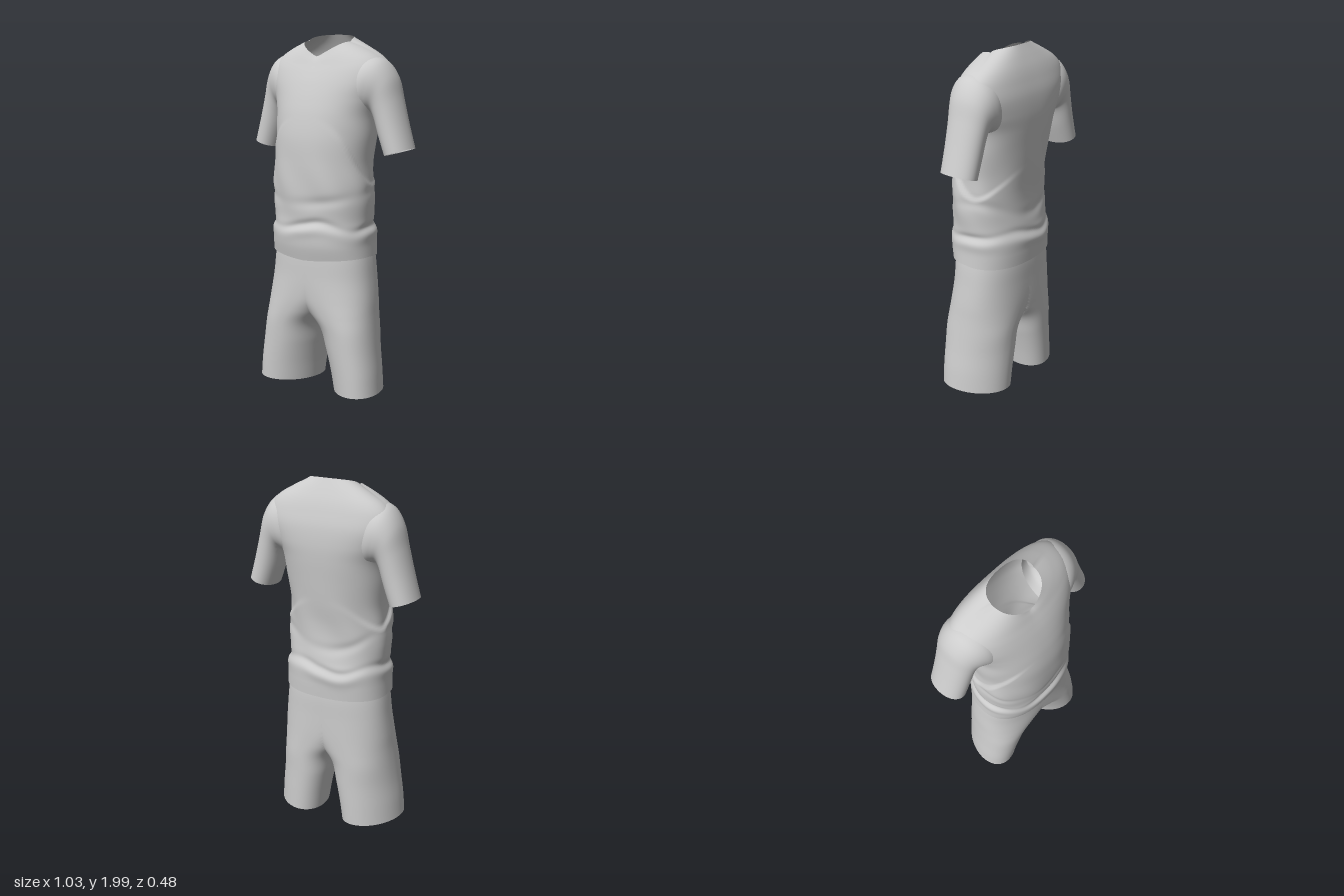
import * as THREE from 'three';

const gauss = (d, w) => Math.exp(-(d * d) / (w * w));
const spow = (v, e) => Math.sign(v) * Math.pow(Math.abs(v), e);
const smooth = THREE.MathUtils.smoothstep;

// Smoothly interpolate a list of cross-section settings, t from 0 to 1
function sample(keys, t) {
  const f = t * (keys.length - 1);
  const i = Math.min(Math.floor(f), keys.length - 2);
  const u = f - i;
  const k = (n) => keys[Math.max(0, Math.min(keys.length - 1, n))];
  return keys[i].map((_, c) => {
    const p0 = k(i - 1)[c], p1 = k(i)[c], p2 = k(i + 1)[c], p3 = k(i + 2)[c];
    return p1 + 0.5 * u * (p2 - p0 + u * (2 * p0 - 5 * p1 + 4 * p2 - p3 + u * (3 * (p1 - p2) + p3 - p0)));
  });
}

// Open-ended skin through closed rings; point(section, angle) returns [x, y, z].
// Faces whose corners all satisfy skip(x, y, z) are left out.
function loft(keys, rows, n, point, { side = 1, seam = false, skip = () => false } = {}) {
  const pos = [], index = [];
  for (let r = 0; r <= rows; r++) {
    const s = sample(keys, r / rows);
    for (let j = 0; j < n; j++) {
      const [x, y, z] = point(s, (j / n) * Math.PI * 2);
      pos.push(side * (seam ? Math.max(0, x) : x), y, z);
    }
  }
  const add = (a, b, c) => {
    if ([a, b, c].every((i) => skip(pos[i * 3], pos[i * 3 + 1], pos[i * 3 + 2]))) return;
    if (side > 0) index.push(a, b, c);
    else index.push(a, c, b);
  };
  for (let r = 0; r < rows; r++) {
    for (let j = 0; j < n; j++) {
      const a = r * n + j, b = r * n + ((j + 1) % n);
      add(a, b, b + n);
      add(a, b + n, a + n);
    }
  }
  const g = new THREE.BufferGeometry();
  g.setAttribute('position', new THREE.Float32BufferAttribute(pos, 3));
  g.setIndex(index);
  g.computeVertexNormals();
  if (seam) {
    // Smooth shading across the centre seam
    const nor = g.attributes.normal, v = new THREE.Vector3();
    for (let i = 0; i < nor.count; i++) {
      if (Math.abs(pos[i * 3]) > 1e-6) continue;
      v.set(0, nor.getY(i), nor.getZ(i)).normalize();
      nor.setXYZ(i, v.x, v.y, v.z);
    }
  }
  return g;
}

// Shirt body: half width, front z, back z, centre z, side y, front y, back y,
// front roundness, back roundness
const BODY = [
  [0.31, 0.21, -0.222, 0.0, 0.795, 0.77, 0.785, 0.85, 0.85],
  [0.306, 0.226, -0.226, 0.0, 0.86, 0.85, 0.86, 0.85, 0.85],
  [0.302, 0.228, -0.226, 0.0, 0.93, 0.92, 0.93, 0.85, 0.85],
  [0.297, 0.222, -0.208, 0.0, 1.0, 1.0, 1.0, 0.88, 0.88],
  [0.305, 0.227, -0.196, 0.0, 1.1, 1.1, 1.1, 0.9, 0.9],
  [0.305, 0.23, -0.198, 0.0, 1.2, 1.2, 1.2, 0.9, 0.9],
  [0.294, 0.228, -0.212, 0.0, 1.32, 1.32, 1.32, 0.9, 0.87],
  [0.298, 0.222, -0.226, -0.015, 1.45, 1.45, 1.45, 0.9, 0.84],
  [0.302, 0.202, -0.238, -0.04, 1.57, 1.57, 1.57, 0.9, 0.8],
  [0.332, 0.178, -0.242, -0.065, 1.66, 1.66, 1.66, 0.9, 0.75],
  [0.366, 0.15, -0.236, -0.075, 1.75, 1.74, 1.75, 0.9, 0.72],
  [0.362, 0.126, -0.219, -0.08, 1.825, 1.795, 1.825, 0.9, 0.74],
  [0.32, 0.106, -0.2, -0.078, 1.88, 1.835, 1.885, 0.9, 0.76],
  [0.235, 0.09, -0.174, -0.07, 1.928, 1.865, 1.942, 0.87, 0.78],
  [0.14, 0.075, -0.143, -0.045, 1.965, 1.885, 2.0, 0.85, 0.82],
];

function bodyPoint([w, zf, zb, zc, ys, yf, yb, ef, eb], a) {
  const s = Math.sin(a), c = Math.cos(a), e = c > 0 ? ef : eb;
  const sx = spow(s, e), cz = spow(c, e);
  const y = c > 0
    ? ys + (yf - ys) * (1 - Math.pow(Math.abs(sx), 1.2))
    : ys + (yb - ys) * Math.sqrt(-c);
  const z = zc + (c > 0 ? zf - zc : zc - zb) * cz;
  // Gathered folds above the hem
  const y1 = 0.965 + 0.018 * Math.sin(3 * a + 0.6) + 0.01 * Math.sin(5 * a);
  const y2 = 1.08 + 0.09 * s * s + 0.015 * Math.sin(3 * a + 1);
  const pinch = 0.65 + 0.35 * Math.sin(4 * a + 1);
  let d = pinch * (0.007 * gauss(y - y1 + 0.04, 0.035) - 0.013 * gauss(y - y1, 0.022));
  d -= 0.008 * gauss(y - y2, 0.03) * (0.6 + 0.4 * Math.sin(4 * a));
  d += 0.003 * Math.sin(8 * a + 14 * y) * gauss(y - 1.15, 0.17);
  // Draped fold sweeping below each armpit
  const drape = 1.19 + 5.8 * (z + 0.05) ** 2;
  const above = smooth(y - drape, -0.015, 0.02) * (1 - smooth(y, 1.45, 1.6));
  d -= 0.016 * above * gauss(y - drape, 0.16) * s * s;
  return [w * sx + d * s, y, z + d * c];
}

// Armholes, hidden inside the sleeve tops
const armhole = (x, y, z) => Math.abs(x) > 0.3 && y > 1.62 && y < 1.79 && Math.abs(z + 0.078) < 0.07;

// Sleeve: inner x, inner y, outer x, outer y, front z, back z
const SLEEVE = [
  [0.37, 1.355, 0.515, 1.4, 0.03, -0.185],
  [0.332, 1.46, 0.474, 1.54, 0.034, -0.188],
  [0.305, 1.55, 0.438, 1.67, 0.04, -0.194],
  [0.288, 1.572, 0.408, 1.78, 0.051, -0.202],
  [0.265, 1.56, 0.358, 1.857, 0.074, -0.211],
  [0.235, 1.54, 0.3, 1.888, 0.091, -0.213],
  [0.19, 1.53, 0.235, 1.895, 0.09, -0.2],
];

function sleevePoint([xi, yi, xo, yo, zf, zb], a) {
  const k = (1 + spow(Math.sin(a), 0.95)) / 2;
  const z = (zf + zb) / 2 + ((zf - zb) / 2) * spow(Math.cos(a), 0.95);
  return [xi + (xo - xi) * k, yi + (yo - yi) * k, z];
}

// Shorts half: inner x, outer x, front z, back z, inner y, outer y, outward slant, roundness
const LEG = [
  [0.078, 0.388, 0.18, -0.194, 0.008, 0.018, 0.29, 0.98],
  [0.06, 0.378, 0.184, -0.196, 0.12, 0.13, 0.27, 0.97],
  [0.032, 0.362, 0.188, -0.198, 0.25, 0.25, 0.23, 0.95],
  [0.0, 0.348, 0.192, -0.201, 0.37, 0.37, 0.17, 0.92],
  [-0.09, 0.338, 0.194, -0.204, 0.46, 0.46, 0.11, 0.89],
  [-0.2, 0.33, 0.196, -0.207, 0.55, 0.55, 0.05, 0.87],
  [-0.29, 0.317, 0.197, -0.208, 0.66, 0.66, 0, 0.85],
  [-0.303, 0.303, 0.195, -0.208, 0.78, 0.78, 0, 0.85],
  [-0.28, 0.28, 0.185, -0.195, 0.9, 0.9, 0, 0.85],
];

function legPoint([xi, xo, zf, zb, yi, yo, slant, e], a) {
  const k = (1 + spow(Math.sin(a + slant), e)) / 2;
  const mid = (zf + zb) / 2, half = (zf - zb) / 2;
  return [xi + (xo - xi) * k, yi + (yo - yi) * k, mid + half * spow(Math.cos(a), e)];
}

// The two halves join without a wall between them
const centrePlane = (x) => Math.abs(x) < 1e-6;

export function createModel() {
  const fabric = new THREE.MeshStandardMaterial({ color: 0xcccccc, side: THREE.DoubleSide });
  fabric.name = 'greyFabric';
  const model = new THREE.Group();
  model.name = 'shirtAndShorts';
  const add = (name, geometry) => {
    const mesh = new THREE.Mesh(geometry, fabric);
    mesh.name = name;
    model.add(mesh);
  };

  add('shirtBody', loft(BODY, 140, 120, bodyPoint, { skip: armhole }));
  for (const [label, side] of [['left', 1], ['right', -1]]) {
    add(label + 'Sleeve', loft(SLEEVE, 42, 48, sleevePoint, { side }));
    add(label + 'ShortsLeg', loft(LEG, 64, 96, legPoint, { side, seam: true, skip: centrePlane }));
  }
  return model;
}
